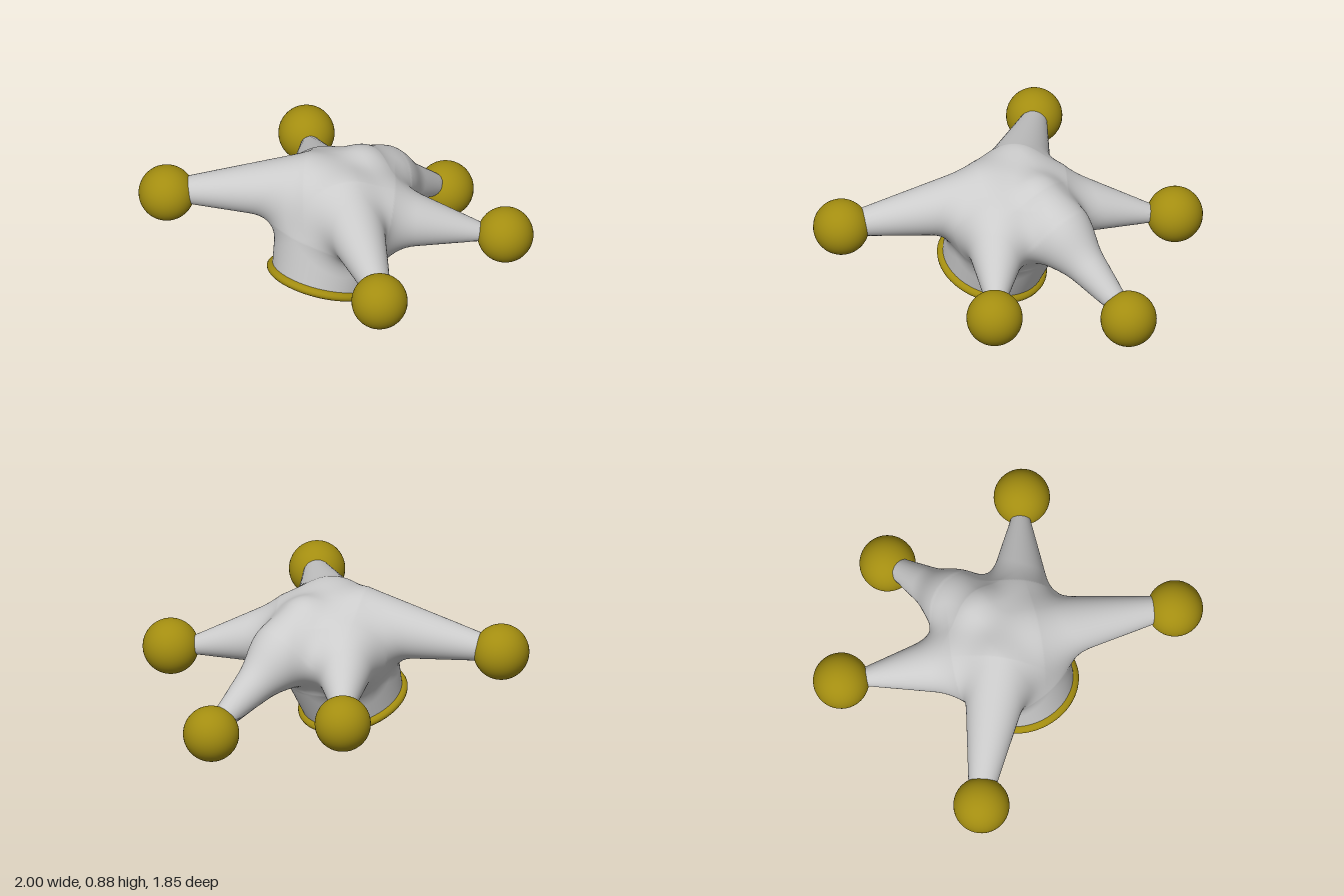
import * as THREE from 'three';

const V = (x, y, z) => new THREE.Vector3(x, y, z);
const TILT = -0.34;                                   // lean of the head opening
const AXIS = V(0, Math.cos(TILT), Math.sin(TILT));    // opening axis, pointing up
const RIM = V(0, 0.13, 0.325);                        // middle of the opening
const CORE = RIM.clone().addScaledVector(AXIS, 0.46); // middle of the cap
const RIM_R = 0.3;
const BLEND = 0.16;                                   // softness of the joins

// Tapered rounded limbs: [start, start radius, end, end radius]
const limbs = [
  [RIM.clone().addScaledVector(AXIS, -0.2), 0.27, RIM.clone().addScaledVector(AXIS, 0.28), 0.342], // head band
  [V(0, 0.665, -0.02), 0.19, V(0, 0.555, -0.2), 0.155],     // back point, upper
  [V(0, 0.545, -0.22), 0.16, V(0, 0.28, -0.645), 0.072],    // back point, lower
];
for (const s of [-1, 1]) {
  const lift = s < 0 ? 0.025 : 0;
  limbs.push([V(s * 0.15, 0.645 + lift, 0.27), 0.208, V(s * 0.76, 0.587, 0.69), 0.078]); // front point
  limbs.push([V(s * 0.26, 0.54, 0.04), 0.2, V(s * 0.68, 0.42, -0.33), 0.052]);           // side point
}

// Blended distance to all limbs
const ab = V(0, 0, 0), ap = V(0, 0, 0);
function field(p) {
  let d = 10;
  for (const [a, ra, b, rb] of limbs) {
    ab.subVectors(b, a);
    ap.subVectors(p, a);
    const t = THREE.MathUtils.clamp(ap.dot(ab) / ab.lengthSq(), 0, 1);
    const e = ap.addScaledVector(ab, -t).length() - (ra + (rb - ra) * t);
    const h = Math.max(BLEND - Math.abs(d - e), 0) / BLEND;
    d = Math.min(d, e) - h * h * BLEND / 4;
  }
  return d;
}

// Open sphere whose vertices are drawn in along their rays onto the blended limbs
function capGeometry() {
  const opening = Math.atan(RIM_R / 0.46);
  const geo = new THREE.SphereGeometry(1, 220, 140, 0, Math.PI * 2, 0, Math.PI - opening);
  geo.rotateX(TILT);
  const pos = geo.attributes.position, nor = geo.attributes.normal;
  const dir = V(0, 0, 0), p = V(0, 0, 0), q = V(0, 0, 0), n = V(0, 0, 0);
  for (let i = 0; i < pos.count; i++) {
    dir.fromBufferAttribute(pos, i).normalize();
    // Never start below the plane of the opening
    const down = -dir.dot(AXIS);
    let t = down > 0.35 ? Math.min(1.3, 0.46 / down) : 1.3;
    for (let step = 0; step < 120; step++) {
      const d = field(p.copy(CORE).addScaledVector(dir, t));
      if (d < 0.0005) break;
      t -= d * 0.85;
    }
    p.copy(CORE).addScaledVector(dir, t);
    pos.setXYZ(i, p.x, p.y, p.z);
    // Smooth normal from the slope of the field
    for (const c of ['x', 'y', 'z']) {
      q.copy(p); q[c] += 0.004;
      const hi = field(q);
      q[c] -= 0.008;
      n[c] = hi - field(q);
    }
    n.normalize();
    nor.setXYZ(i, n.x, n.y, n.z);
  }
  return geo;
}

export function createModel() {
  const group = new THREE.Group();
  group.name = 'jesterHat';
  const cloth = new THREE.MeshStandardMaterial({ color: 0xcccccc, side: THREE.DoubleSide });
  const gold = new THREE.MeshStandardMaterial({ color: 0xa38d10 });
  const add = (name, geo, mat, at) => {
    const mesh = new THREE.Mesh(geo, mat);
    mesh.name = name;
    if (at) mesh.position.copy(at);
    group.add(mesh);
  };

  // Five-pointed cloth cap
  add('cap', capGeometry(), cloth);

  // Flattened trim around the opening
  const trim = new THREE.TorusGeometry(0.282, 0.05, 16, 72);
  trim.rotateX(Math.PI / 2).scale(1, 0.62, 1).rotateX(TILT);
  add('brimTrim', trim, gold, RIM);

  // A bell on each point
  const bell = new THREE.SphereGeometry(0.165, 40, 28);
  add('backBell', bell, gold, V(0, 0.19, -0.763));
  for (const [side, s] of [['left', 1], ['right', -1]]) {
    add(side + 'FrontBell', bell, gold, V(s * 0.835, 0.567, 0.757));
    add(side + 'SideBell', bell, gold, V(s * 0.78, 0.407, -0.413));
  }
  return group;
}
